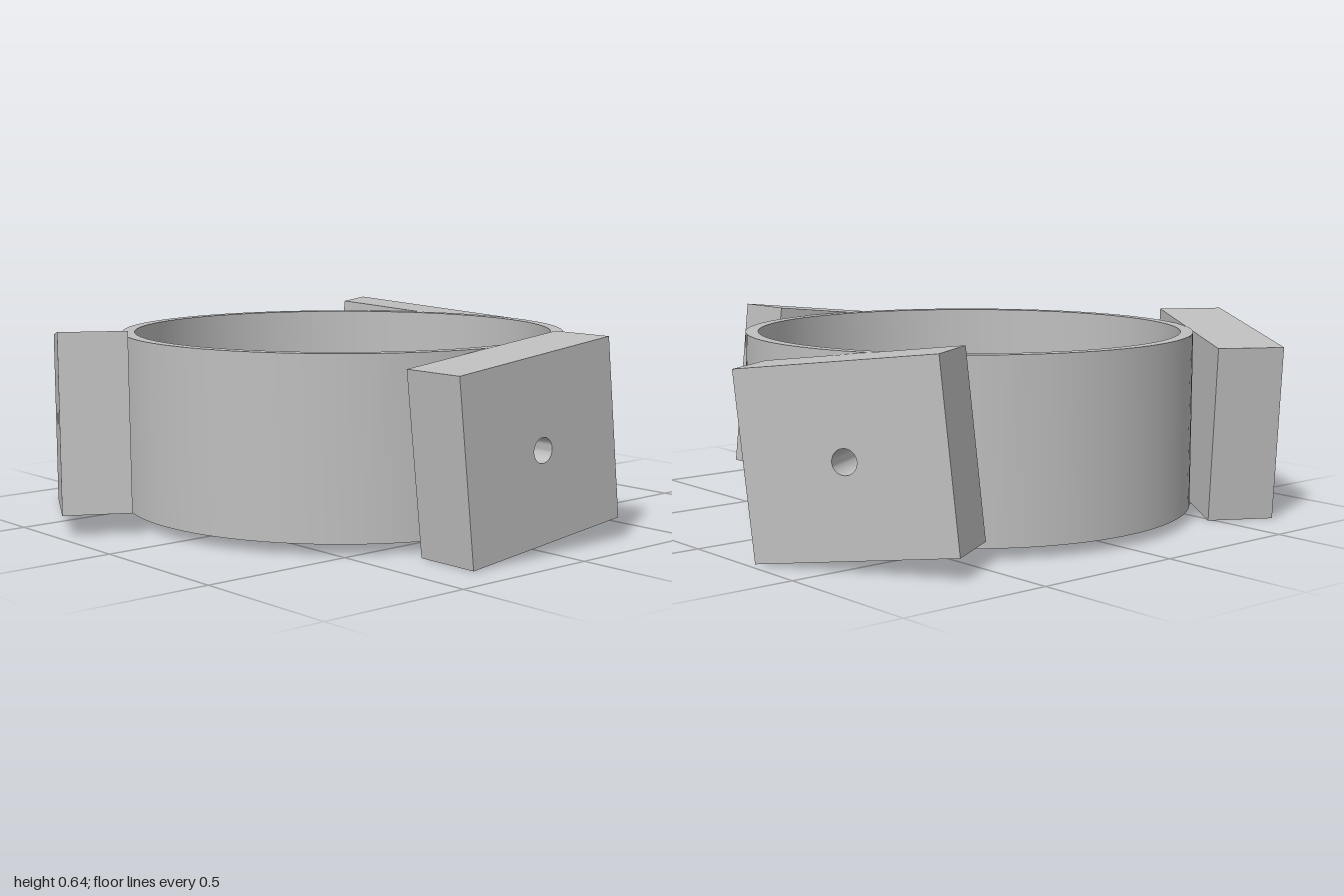
import * as THREE from 'three';
import { toCreasedNormals } from 'three/addons/utils/BufferGeometryUtils.js';

const OUTER = 0.735, INNER = 0.694, BOTTOM = 0.035, TOP = 0.607;
const WIDTH = 0.638, HEIGHT = 0.573, THICK = 0.218, HOLE = 0.039;
const TILT = 0.11; // lean of each block about its hole

export function createModel() {
  const model = new THREE.Group();
  const grey = new THREE.MeshStandardMaterial({ color: 0xbfbfbf });
  grey.name = 'grey';

  // the whole assembly is centred on the ring axis
  const assembly = new THREE.Group();
  assembly.name = 'ringAssembly';
  assembly.position.set(-0.077, 0, 0.01);
  model.add(assembly);

  // thin-walled ring
  const profile = [
    [OUTER, BOTTOM], [OUTER, TOP], [INNER, TOP], [INNER, BOTTOM], [OUTER, BOTTOM],
  ].map(([x, y]) => new THREE.Vector2(x, y));
  const ring = new THREE.Mesh(toCreasedNormals(new THREE.LatheGeometry(profile, 96), 0.6), grey);
  ring.name = 'ring';
  assembly.add(ring);

  // block plate with a round hole through its middle
  const w = WIDTH / 2, h = HEIGHT / 2;
  const plate = new THREE.Shape();
  plate.moveTo(-w, -h).lineTo(w, -h).lineTo(w, h).lineTo(-w, h).closePath();
  const hole = new THREE.Path();
  hole.absarc(0, 0, HOLE, 0, Math.PI * 2, true);
  plate.holes.push(hole);
  const extruded = new THREE.ExtrudeGeometry(plate, { depth: THICK, bevelEnabled: false, curveSegments: 16 });
  const blockGeometry = toCreasedNormals(extruded, 0.6);
  blockGeometry.rotateZ(TILT).rotateY(Math.PI / 2); // thickness points outwards along +x
  blockGeometry.translate(OUTER - 0.003, 0.32, 0.037);

  // three tilted blocks evenly spaced around the ring
  ['leftBlock', 'backRightBlock', 'frontRightBlock'].forEach((name, i) => {
    const block = new THREE.Mesh(blockGeometry, grey);
    block.name = name;
    block.rotation.y = (i * Math.PI * 2) / 3;
    assembly.add(block);
  });

  return model;
}
